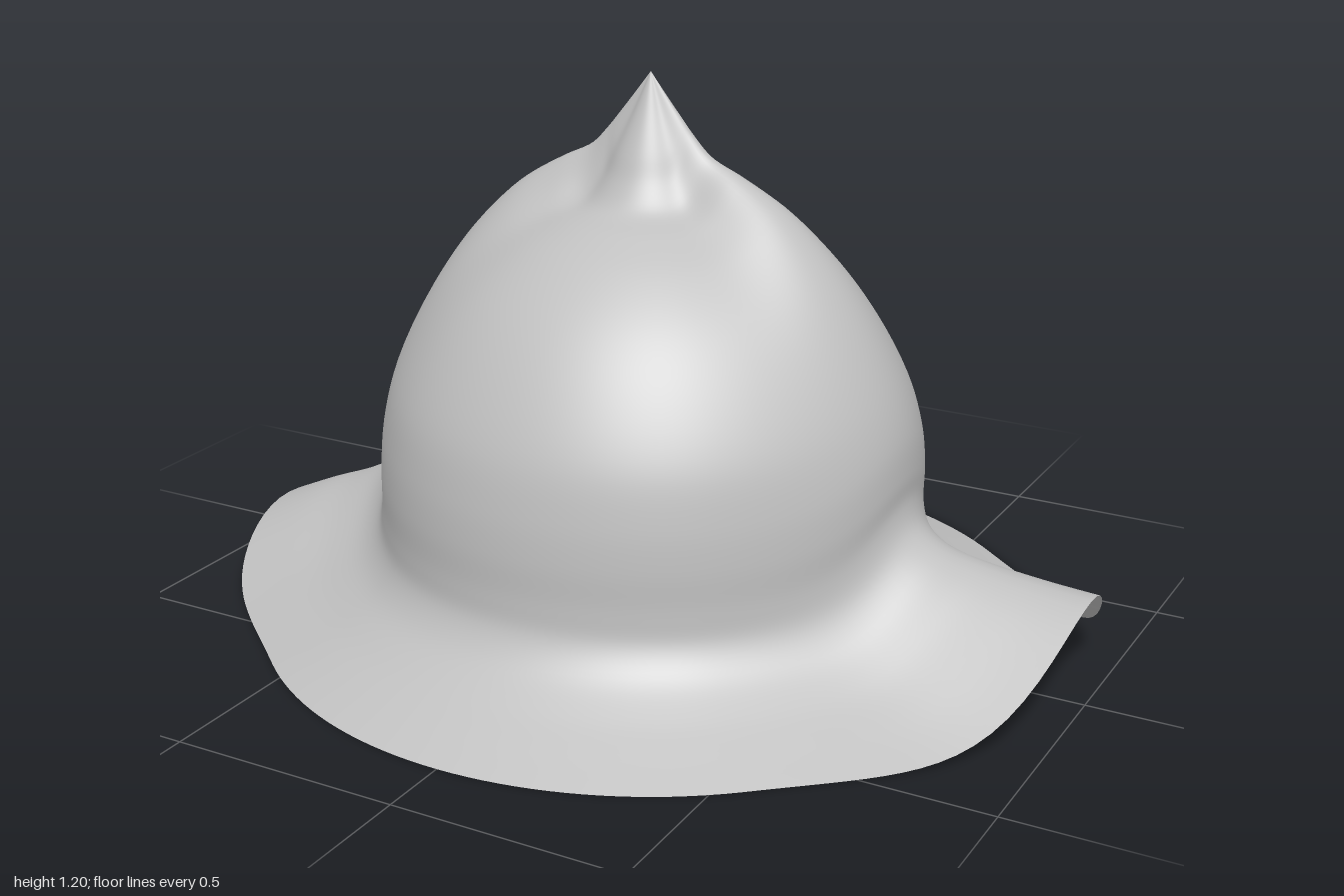
import * as THREE from 'three';

// Matching [radius, height] profiles from the tip down to the brim edge
const FRONT = [[0, 1.2], [.035, 1.12], [.073, 1.04], [.1, .98], [.14, .93], [.21, .9], [.3, .85], [.4, .765],
  [.48, .66], [.545, .53], [.57, .42], [.578, .33], [.578, .24], [.585, .18], [.62, .125], [.69, .075], [.77, .035], [.848, 0]];
const CREST = [[0, 1.2], [.035, 1.155], [.075, 1.105], [.1, 1.075], [.14, 1.035], [.21, 1], [.31, .94], [.41, .845],
  [.49, .735], [.56, .6], [.592, .5], [.6, .42]];
const LEFT = [...CREST, [.6, .36], [.62, .31], [.67, .275], [.76, .255], [.88, .24], [1, .23]];
const RIGHT = [...CREST, [.605, .36], [.62, .3], [.67, .235], [.76, .18], [.88, .13], [1, .075]];

const RINGS = 90, SEGMENTS = 160;

const sample = (profile) =>
  new THREE.CatmullRomCurve3(profile.map(([r, y]) => new THREE.Vector3(r, y, 0)), false, 'centripetal');

function hatGeometry() {
  const front = sample(FRONT), left = sample(LEFT), right = sample(RIGHT);
  const positions = [], indices = [];
  for (let i = 0; i <= RINGS; i++) {
    const t = i / RINGS;
    const f = front.getPoint(t), l = left.getPoint(t), r = right.getPoint(t);
    // The side crests are a little wider on the crown than at the brim edge
    const spread = THREE.MathUtils.lerp(21, 14.6, THREE.MathUtils.smoothstep(t, 0.6, 1));
    for (let j = 0; j < SEGMENTS; j++) {
      const angle = (j / SEGMENTS) * Math.PI * 2;
      const c = Math.cos(angle), s = Math.sin(angle);
      const off = THREE.MathUtils.radToDeg(Math.acos(Math.min(1, Math.abs(c))));
      const wide = off < 49 ? Math.cos((off / 49) * Math.PI / 2) ** 2 : 0;
      const narrow = Math.exp(-((off / spread) ** 2));
      const side = c > 0 ? l : r;
      const radius = THREE.MathUtils.lerp(f.x, side.x, wide);
      positions.push(radius * c, THREE.MathUtils.lerp(f.y, side.y, narrow), radius * s);
    }
  }
  for (let i = 0; i < RINGS; i++) {
    for (let j = 0; j < SEGMENTS; j++) {
      const k = (j + 1) % SEGMENTS;
      const a = i * SEGMENTS + j, b = i * SEGMENTS + k;
      const c = a + SEGMENTS, d = b + SEGMENTS;
      if (i > 0) indices.push(a, b, c);
      indices.push(b, d, c);
    }
  }
  const geometry = new THREE.BufferGeometry();
  geometry.setAttribute('position', new THREE.Float32BufferAttribute(positions, 3));
  geometry.setIndex(indices);
  geometry.computeVertexNormals();
  return geometry;
}

export function createModel() {
  const group = new THREE.Group();
  group.name = 'hat';
  const felt = new THREE.MeshStandardMaterial({ color: 0xc0c0c0, side: THREE.DoubleSide });
  felt.name = 'grey felt';
  // Pinched crown and wavy brim in one continuous open shell
  const shell = new THREE.Mesh(hatGeometry(), felt);
  shell.name = 'crownAndBrim';
  group.add(shell);
  return group;
}
